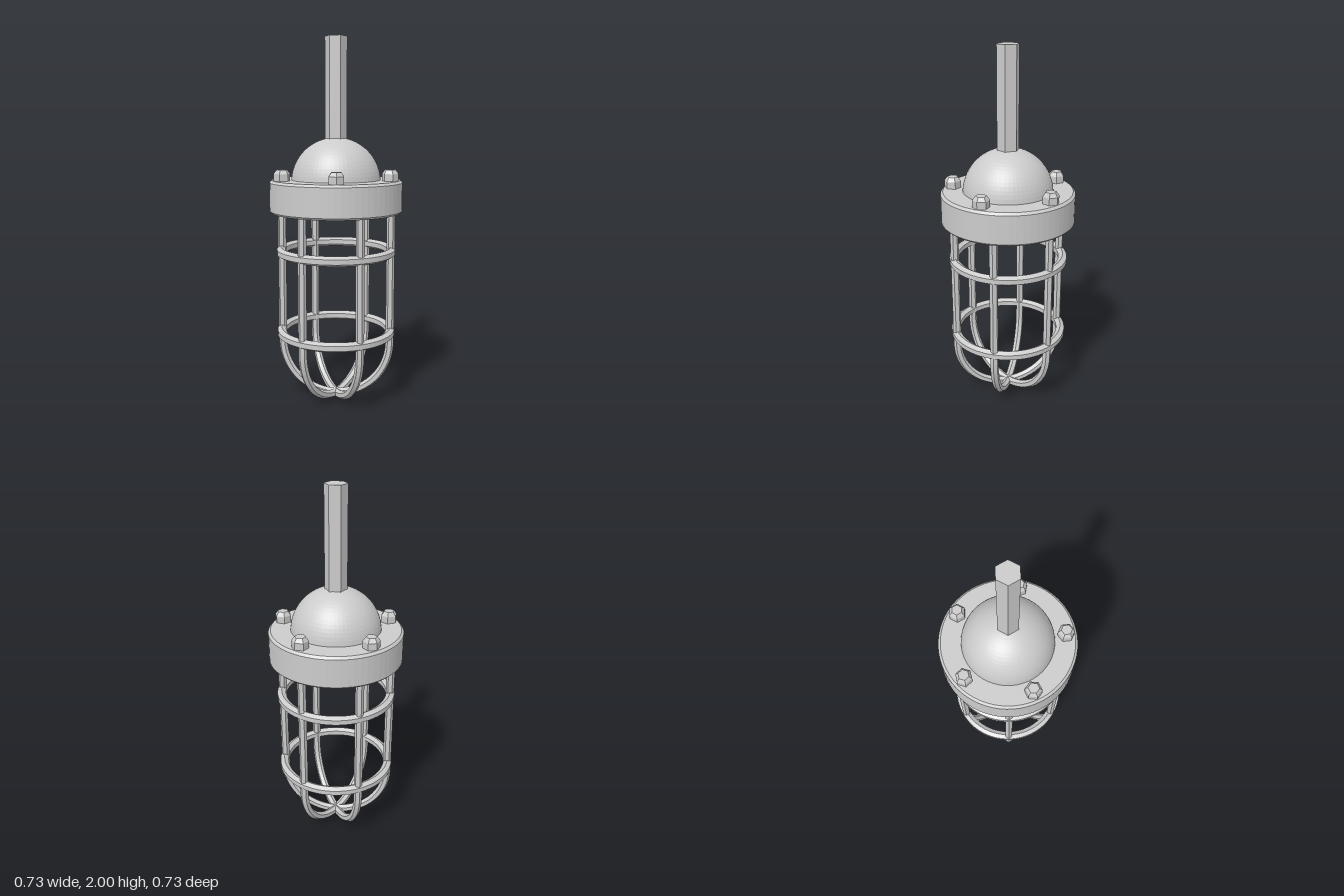
import * as THREE from 'three';

const material = new THREE.MeshStandardMaterial({ color: 0xcccccc, flatShading: true });

function add(parent, name, geometry) {
  const mesh = new THREE.Mesh(geometry, material);
  mesh.name = name;
  parent.add(mesh);
  return mesh;
}

// Revolve a profile of [radius, height] pairs, listed from the bottom up
function lathe(profile, segments) {
  return new THREE.LatheGeometry(profile.map(([r, y]) => new THREE.Vector2(r, y)), segments);
}

// Six corners around a centre, as [x, y] pairs
function hexagon(radius, cx = 0, cy = 0) {
  return Array.from({ length: 6 }, (_, i) => {
    const a = Math.PI / 2 + (i * Math.PI) / 3;
    return [cx + radius * Math.cos(a), cy + radius * Math.sin(a)];
  });
}

// U-shaped centreline: down one side, round the bottom, up the other side
function archPath(radius, top, bend) {
  const path = new THREE.CurvePath();
  const points = [];
  for (let i = 0; i <= 24; i++) {
    const a = Math.PI + (i * Math.PI) / 24;
    points.push(new THREE.Vector3(radius * Math.cos(a), bend + radius * Math.sin(a), 0));
  }
  path.add(new THREE.LineCurve3(new THREE.Vector3(-radius, top, 0), points[0]));
  for (let i = 0; i < 24; i++) path.add(new THREE.LineCurve3(points[i], points[i + 1]));
  path.add(new THREE.LineCurve3(points[24], new THREE.Vector3(radius, top, 0)));
  return path;
}

export function createModel() {
  const lamp = new THREE.Group();
  lamp.name = 'cagedPendantLamp';

  // Hanging rod, with corners to the left and right
  const rod = add(lamp, 'hangingRod', new THREE.CylinderGeometry(0.06, 0.06, 0.54, 6));
  rod.position.y = 1.73;
  rod.rotation.y = Math.PI / 2;

  // Closed half-sphere cap
  const domeProfile = [[0, 1.225]];
  for (let i = 0; i <= 18; i++) {
    const a = (i * Math.PI) / 36;
    domeProfile.push([0.244 * Math.cos(a), 1.225 + 0.244 * Math.sin(a)]);
  }
  add(lamp, 'dome', lathe(domeProfile, 64));

  // Hollow collar with chamfered rims
  add(lamp, 'collar', lathe([
    [0.25, 1.062], [0.352, 1.062], [0.363, 1.073],
    [0.363, 1.227], [0.35, 1.24], [0.235, 1.24],
  ], 64));

  // Five hexagonal bolts around the collar
  const bolts = new THREE.Group();
  bolts.name = 'bolts';
  lamp.add(bolts);
  const boltGeometry = lathe([[0, 1.2], [0.045, 1.2], [0.045, 1.278], [0.029, 1.3], [0, 1.3]], 6);
  boltGeometry.translate(0, 0, 0.303);
  for (let i = 0; i < 5; i++) {
    add(bolts, 'bolt', boltGeometry).rotation.y = Math.PI / 2 + (i * Math.PI * 2) / 5;
  }

  // Cage: three crossing arches make the six bars
  const cage = new THREE.Group();
  cage.name = 'cage';
  lamp.add(cage);
  const section = new THREE.Shape(hexagon(0.023).map(([x, y]) => new THREE.Vector2(x, y)));
  const archGeometry = new THREE.ExtrudeGeometry(section, {
    steps: 72, bevelEnabled: false, extrudePath: archPath(0.302, 1.07, 0.325),
  });
  for (let i = 0; i < 3; i++) {
    add(cage, 'cageArch', archGeometry).rotation.y = (i * Math.PI) / 3;
  }

  // Two hoops with a hexagonal section around the bars
  const hoopProfile = hexagon(0.027, 0.304, 0).reverse();
  hoopProfile.push(hoopProfile[0]);
  const hoopGeometry = lathe(hoopProfile.reverse(), 64);
  for (const y of [0.845, 0.39]) add(cage, 'cageHoop', hoopGeometry).position.y = y;

  return lamp;
}
